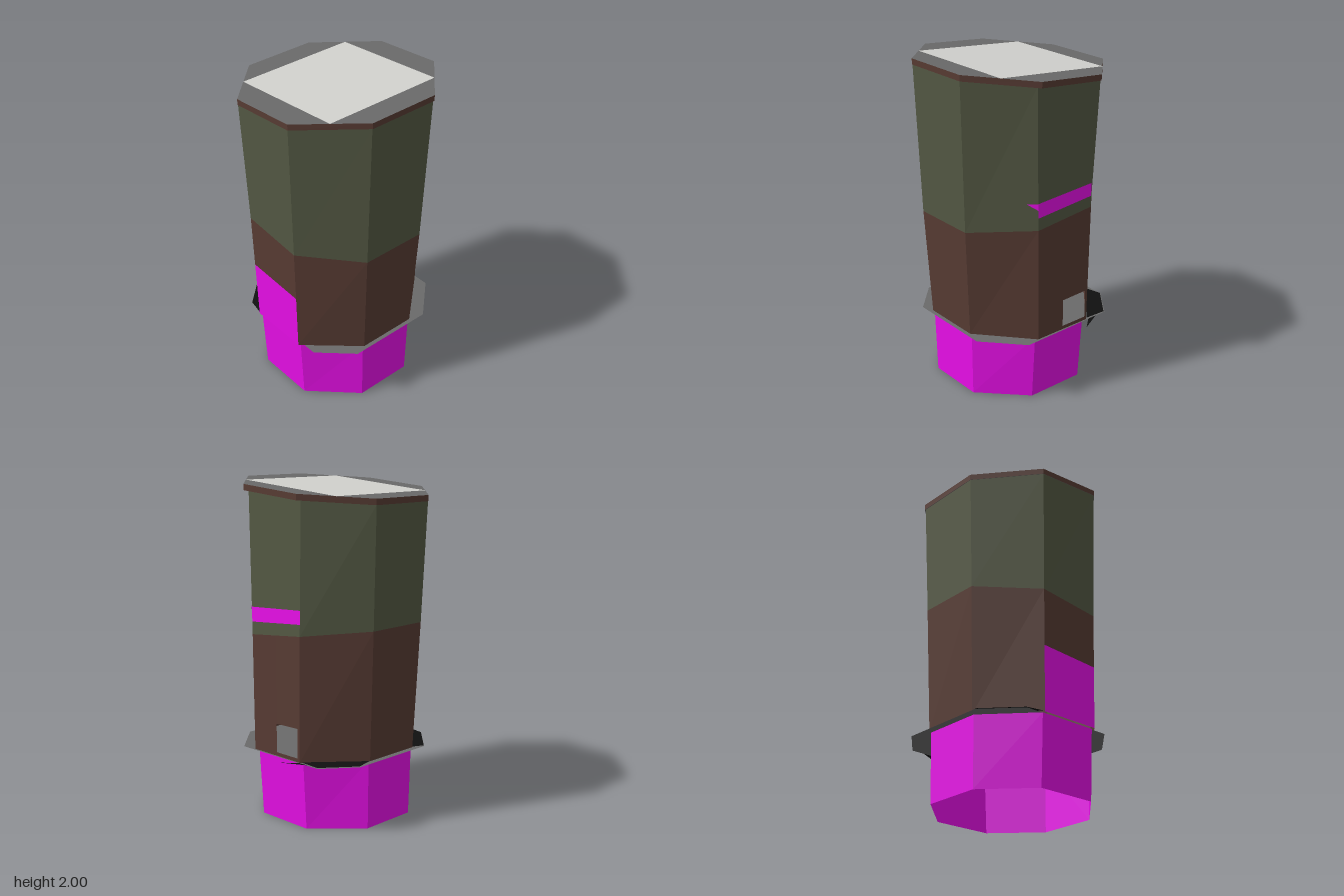
import * as THREE from 'three';

const mat = (name, color) => {
  const m = new THREE.MeshStandardMaterial({ color, side: THREE.DoubleSide });
  m.name = name;
  return m;
};

// Eight-sided ring, counterclockwise from above, starting at the front left corner.
// xs/xc: side and front corner x; zF, zf, zb, zB: z from front to back; y: height by x
const ring = (xs, xc, zF, zf, zb, zB, y) =>
  [[xc, zF], [xs, zf], [xs, zb], [xc, zB], [-xc, zB], [-xs, zb], [-xs, zf], [-xc, zF]]
    .map(([x, z]) => new THREE.Vector3(x, y(x), z));

// Mesh from a list of flat convex polygons
function facets(name, material, polygons) {
  const pos = [];
  for (const p of polygons)
    for (let i = 1; i < p.length - 1; i++)
      for (const v of [p[0], p[i], p[i + 1]]) pos.push(v.x, v.y, v.z);
  const g = new THREE.BufferGeometry();
  g.setAttribute('position', new THREE.Float32BufferAttribute(pos, 3));
  g.computeVertexNormals();
  const mesh = new THREE.Mesh(g, material);
  mesh.name = name;
  return mesh;
}

// Part of one wall between two rings; u runs along the side, v runs up
function panel(low, high, side, u0 = 0, u1 = 1, v0 = 0, v1 = 1) {
  const j = (side + 1) % 8;
  const at = (u, v) => low[side].clone().lerp(low[j], u)
    .lerp(high[side].clone().lerp(high[j], u), v);
  return [at(u0, v0), at(u1, v0), at(u1, v1), at(u0, v1)];
}

const walls = (low, high, skip = []) =>
  [0, 1, 2, 3, 4, 5, 6, 7].filter(i => !skip.includes(i)).map(i => panel(low, high, i));

export function createModel() {
  const magenta = mat('magenta', 0xf010f0);
  const brown = mat('brown', 0x573b33);
  const green = mat('olive green', 0x535843);
  const grey = mat('grey', 0x6a6a6a);
  const pale = mat('pale grey', 0xd2d2ce);
  const black = mat('black', 0x101010);
  const group = new THREE.Group();
  const V = (x, y, z) => new THREE.Vector3(x, y, z);
  const FRONT = 7, BACK = 3;
  const floorY = 0.415;
  const roofY = x => 1.955 + 0.085 * x;

  // Rings from the ground up
  const foot = ring(0.435, 0.185, 0.463, 0.205, -0.155, -0.408, () => 0);
  const baseTop = ring(0.443, 0.188, 0.484, 0.212, -0.16, -0.434, () => floorY);
  const wallFoot = ring(0.455, 0.19, 0.503, 0.212, -0.16, -0.465, () => floorY);
  const band = ring(0.488, 0.198, 0.52, 0.23, -0.175, -0.465, x => 1.128 - 0.1 * x);
  const wallTop = ring(0.518, 0.213, 0.546, 0.24, -0.192, -0.465, x => roofY(x) - 0.035);
  const trimLow = ring(0.521, 0.215, 0.548, 0.24, -0.198, -0.502, x => roofY(x) - 0.035);
  const trimHigh = ring(0.522, 0.215, 0.548, 0.24, -0.198, -0.502, roofY);

  // Open base
  group.add(facets('base', magenta, walls(foot, baseTop)));

  // Floor plate jutting out at the diagonals
  const plate = [[0.3, 0.475], [0.48, 0.285], [0.48, -0.255], [0.275, -0.48],
    [-0.34, -0.47], [-0.49, -0.28], [-0.49, 0.28], [-0.3, 0.48]]
    .map(([x, z]) => V(x, floorY, z));
  group.add(facets('floorPlate', grey, [plate.slice()]));

  // Dark ragged edges on the floor plate
  const up = 0.004;
  const edge = pts => pts.map(([x, z]) => V(x, floorY + up, z));
  group.add(facets('floorEdge', black, [
    edge([[-0.335, -0.467], [-0.46, -0.17], [-0.485, -0.28]]),
    edge([[-0.335, -0.467], [-0.2, -0.46], [-0.46, -0.17]]),
    edge([[-0.12, -0.545], [-0.26, -0.475], [-0.2, -0.475]]),
    edge([[-0.3, 0.478], [-0.487, 0.28], [-0.455, 0.21], [-0.19, 0.5]]),
  ]));

  // Lower wall, with a doorway in front and an opening at the back
  const doorV = 0.53;
  const [u0, u1, v0, v1] = [0.5, 0.96, 0.03, 0.27];
  group.add(facets('lowerWall', brown, [
    ...walls(wallFoot, band, [FRONT, BACK]),
    panel(wallFoot, band, FRONT, 0, 1, doorV, 1),
    panel(wallFoot, band, BACK, 0, u0),
    panel(wallFoot, band, BACK, u1, 1),
    panel(wallFoot, band, BACK, u0, u1, 0, v0),
    panel(wallFoot, band, BACK, u0, u1, v1, 1),
  ]));
  group.add(facets('door', magenta, [panel(wallFoot, band, FRONT, 0, 1, 0, doorV)]));

  // Upper wall, with a stripe across the back
  const [s0, s1] = [0.09, 0.195];
  group.add(facets('upperWall', green, [
    ...walls(band, wallTop, [BACK]),
    panel(band, wallTop, BACK, 0, 1, 0, s0),
    panel(band, wallTop, BACK, 0, 1, s1, 1),
  ]));
  group.add(facets('backStripe', magenta, [panel(band, wallTop, BACK, 0, 1, s0, s1)]));
  group.add(facets('stripeTip', magenta, [
    panel(band, wallTop, 2, 0.85, 1, 0.15, s1).filter((p, i) => i !== 0)
      .map(p => p.add(V(0.003, 0, -0.003))),
  ]));

  // Roof rim and its underside
  group.add(facets('roofRim', brown, walls(trimLow, trimHigh)));
  group.add(facets('roofUnderside', grey, [trimLow.slice().reverse()]));

  // Sloped roof: pale square panel inside four grey borders
  const square = [0, 2, 4, 6].map(i => trimHigh[i].clone().lerp(trimHigh[i + 1], 0.5));
  group.add(facets('roofPanel', pale, [square]));
  group.add(facets('roofBorder', grey, square.map((p, k) => [
    p, trimHigh[2 * k + 1], trimHigh[(2 * k + 2) % 8], square[(k + 1) % 4],
  ])));

  return group;
}
